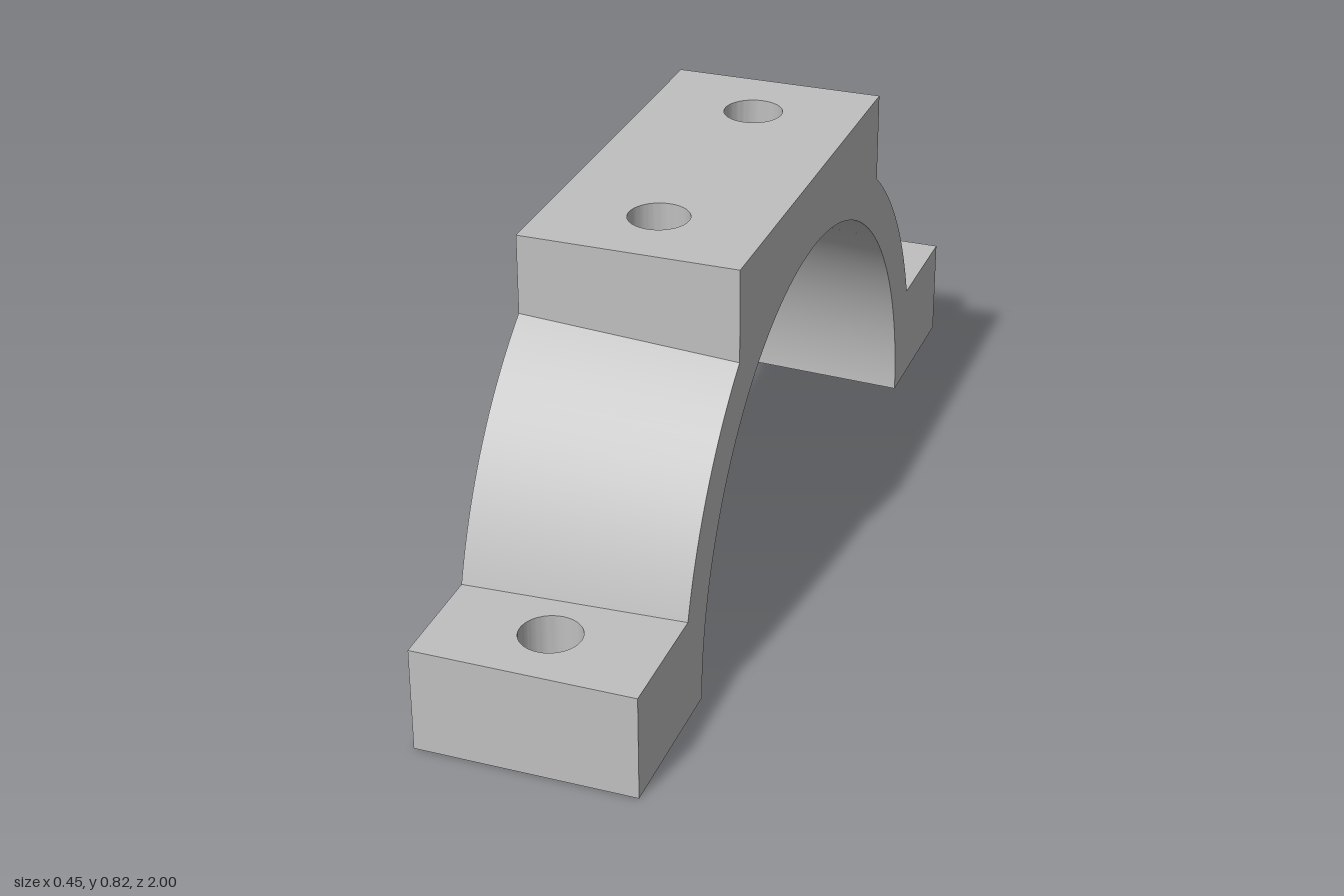
import * as THREE from 'three';
import { toCreasedNormals } from 'three/addons/utils/BufferGeometryUtils.js';

const HALF_WIDTH = 0.226, TOP = 0.819, FOOT_TOP = 0.22;
const BLOCK_Z = 0.453, WALL = 0.108, HOLE_R = 0.062;

// Bore radius: tapers slightly from the right end to the left end
const bore = (x) => 0.675 - 0.0487 * x;
const boreHeight = (x, z) => Math.sqrt(bore(x) ** 2 - z * z);

// Rectangular block with a vertical round hole; bottom(x, z) gives its underside
function drilledBlock(z0, z1, holeZ, top, bottom) {
  const perSide = 18, n = perSide * 4, rings = 14;
  const size = 2 * (rings + 1);
  const pos = [], index = [];
  for (let i = 0; i < n; i++) {
    const f = ((i % perSide) / perSide) * 2 - 1;
    const [u, v] = [[1, f], [-f, 1], [-1, -f], [f, -1]][Math.floor(i / perSide)];
    const px = u * HALF_WIDTH;
    const pz = (z0 + z1) / 2 + (v * (z1 - z0)) / 2;
    const angle = Math.atan2(pz - holeZ, px);
    const hx = HOLE_R * Math.cos(angle), hz = holeZ + HOLE_R * Math.sin(angle);
    // Closed section: out along the top, down the side, back underneath, up the hole
    for (let k = 0; k < size; k++) {
      const onTop = k <= rings;
      const t = (onTop ? k : size - 1 - k) / rings;
      const x = hx + (px - hx) * t, z = hz + (pz - hz) * t;
      pos.push(x, onTop ? top : bottom(x, z), z);
      const i2 = (i + 1) % n, k2 = (k + 1) % size;
      const a = i * size + k, b = i2 * size + k, c = i2 * size + k2, d = i * size + k2;
      index.push(a, b, c, a, c, d);
    }
  }
  const geo = new THREE.BufferGeometry();
  geo.setAttribute('position', new THREE.Float32BufferAttribute(pos, 3));
  geo.setIndex(index);
  return toCreasedNormals(geo, 0.6);
}

// Curved wall bent from a box: y becomes radius, z becomes angle; side is +1 front, -1 back
function archLeg(side) {
  const geo = new THREE.BoxGeometry(1, 1, 1, 1, 1, 40);
  const p = geo.attributes.position;
  for (let i = 0; i < p.count; i++) {
    const x = p.getX(i) * 2 * HALF_WIDTH;
    const r = bore(x) + WALL * (p.getY(i) + 0.5);
    const a = Math.acos(BLOCK_Z / r) * (0.5 - side * p.getZ(i));
    p.setXYZ(i, x, r * Math.sin(a), side * r * Math.cos(a));
  }
  return toCreasedNormals(geo, 0.6);
}

export function createModel() {
  const group = new THREE.Group();
  group.name = 'bearingCap';
  const metal = new THREE.MeshStandardMaterial({ color: 0xc0c0c0 });
  metal.name = 'grey metal';
  const add = (name, geo) => {
    const mesh = new THREE.Mesh(geo, metal);
    mesh.name = name;
    group.add(mesh);
  };

  // Top block, in two drilled halves over the bore
  add('frontTopBlock', drilledBlock(0, BLOCK_Z, 0.281, TOP, boreHeight));
  add('backTopBlock', drilledBlock(-BLOCK_Z, 0, -0.281, TOP, boreHeight));

  // Curved legs
  add('frontLeg', archLeg(1));
  add('backLeg', archLeg(-1));

  // Drilled mounting feet
  add('frontFoot', drilledBlock(0.72, 1, 0.862, FOOT_TOP, () => 0));
  add('backFoot', drilledBlock(-1, -0.72, -0.862, FOOT_TOP, () => 0));
  return group;
}
